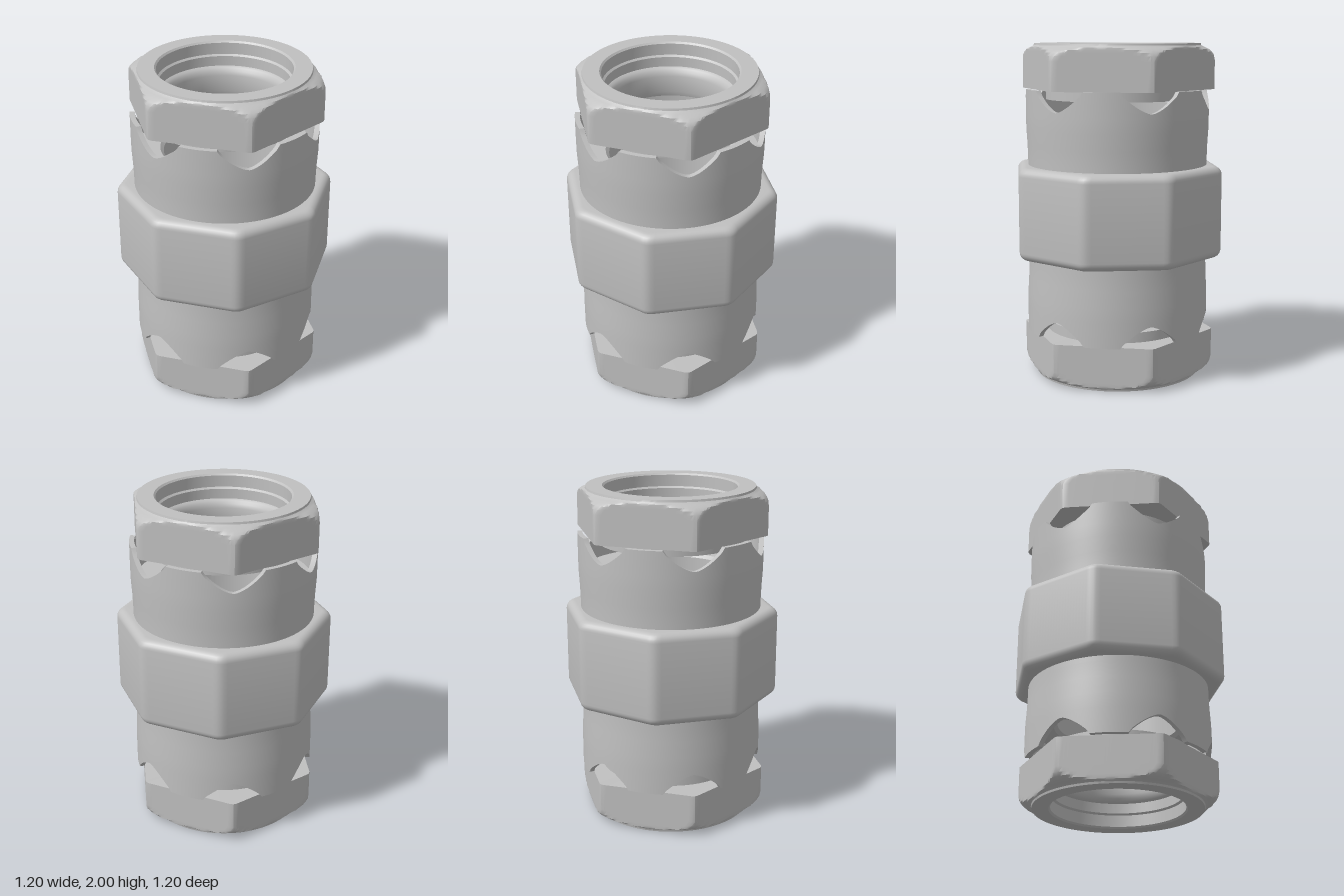
import * as THREE from 'three';
import { toCreasedNormals } from 'three/addons/utils/BufferGeometryUtils.js';

const SEGMENTS = 192;

// Angle measured from the middle of the nearest flat of an n-sided prism
function fromFlat(theta, n) {
  const step = (Math.PI * 2) / n;
  return theta - step * Math.round(theta / step);
}

// Sweep a profile around y: up the outside, inwards over the top, down the inside.
// Each row is [r, y] or a function of the angle returning [r, y].
function sweep(rows, closed, crease = 0.5) {
  const positions = [];
  const index = [];
  for (const row of rows) {
    for (let j = 0; j < SEGMENTS; j++) {
      const theta = (j / SEGMENTS) * Math.PI * 2;
      const [r, y] = typeof row === 'function' ? row(theta) : row;
      positions.push(r * Math.sin(theta), y, r * Math.cos(theta));
    }
  }
  const bands = closed ? rows.length : rows.length - 1;
  for (let i = 0; i < bands; i++) {
    const next = (i + 1) % rows.length;
    for (let j = 0; j < SEGMENTS; j++) {
      const k = (j + 1) % SEGMENTS;
      const a = i * SEGMENTS + j, b = i * SEGMENTS + k;
      const c = next * SEGMENTS + k, d = next * SEGMENTS + j;
      index.push(a, b, c, a, c, d);
    }
  }
  const geometry = new THREE.BufferGeometry();
  geometry.setAttribute('position', new THREE.Float32BufferAttribute(positions, 3));
  geometry.setIndex(index);
  return toCreasedNormals(geometry, crease);
}

// One row of a prism with n flats, its corners trimmed to a largest radius
function prismRow(n, apothem, y, maxRadius) {
  return (theta) => [Math.min(apothem / Math.cos(fromFlat(theta, n)), maxRadius), y];
}

// Rim of the sleeve, dipping into a rounded V below every nut corner
function rimRow(radius) {
  return (theta) => {
    const t = Math.abs(fromFlat(theta + Math.PI / 6, 6)) / 0.295;
    const dip = t < 1 ? 0.025 + 0.095 * (1 - Math.pow(t, 1.5)) : 0;
    return [radius, 1.73 - dip];
  };
}

function nutGeometry() {
  const hex = (y, maxRadius, apothem = 0.51) => prismRow(6, apothem, y, maxRadius);
  return sweep([
    [0.43, 1.67],
    [0.43, 1.73],
    // Hexagon with a rounded chamfer cutting its corners
    hex(1.731, 0.583), hex(1.9, 0.583), hex(1.93, 0.576), hex(1.95, 0.564),
    hex(1.965, 0.545), hex(1.977, 0.52, 0.509), hex(1.984, 0.505, 0.507),
    [0.5, 1.988], [0.497, 2], [0.4, 2],
    // Stepped bore with a rounded inner ring
    [0.39, 1.99], [0.39, 1.92], [0.378, 1.91], [0.378, 1.85],
    [0.362, 1.842], [0.349, 1.825], [0.342, 1.8], [0.342, 1.7], [0.352, 1.67],
  ], true);
}

function sleeveGeometry() {
  return sweep([
    [0.54, 1], [0.54, 1.3], [0.543, 1.4], [0.549, 1.5], [0.55, 1.58],
    rimRow(0.55), rimRow(0.52),
    [0.52, 1.57], [0.52, 1.5], [0.38, 1.5], [0.36, 1.48], [0.36, 1],
  ], false);
}

function collarGeometry() {
  const rows = [[0.53, 0.73]];
  const round = 0.05;
  // Rounded lower and upper edges
  for (const [centre, start] of [[0.78, -Math.PI / 2], [1.23, 0]]) {
    for (let i = 0; i <= 6; i++) {
      const a = start + (i / 6) * (Math.PI / 2);
      const apothem = 0.6 - round + round * Math.cos(a);
      rows.push(prismRow(8, apothem, centre + round * Math.sin(a), apothem * 1.072));
    }
  }
  rows.push([0.53, 1.28]);
  return sweep(rows, false, 0.6);
}

export function createModel() {
  const metal = new THREE.MeshStandardMaterial({ color: 0xc0c0c0 });
  metal.name = 'grey metal';

  const model = new THREE.Group();
  model.name = 'pipeCoupling';

  const add = (parent, name, geometry) => {
    const mesh = new THREE.Mesh(geometry, metal);
    mesh.name = name;
    parent.add(mesh);
  };

  // Octagonal middle collar
  add(model, 'octagonalCollar', collarGeometry());

  // Upper end and the same end turned over for the lower one
  const nut = nutGeometry();
  const sleeve = sleeveGeometry();
  for (const side of ['upper', 'lower']) {
    const end = new THREE.Group();
    end.name = side + 'End';
    add(end, side + 'HexNut', nut);
    add(end, side + 'NotchedSleeve', sleeve);
    if (side === 'lower') {
      end.rotation.x = Math.PI;
      end.position.y = 2;
    }
    model.add(end);
  }
  return model;
}
